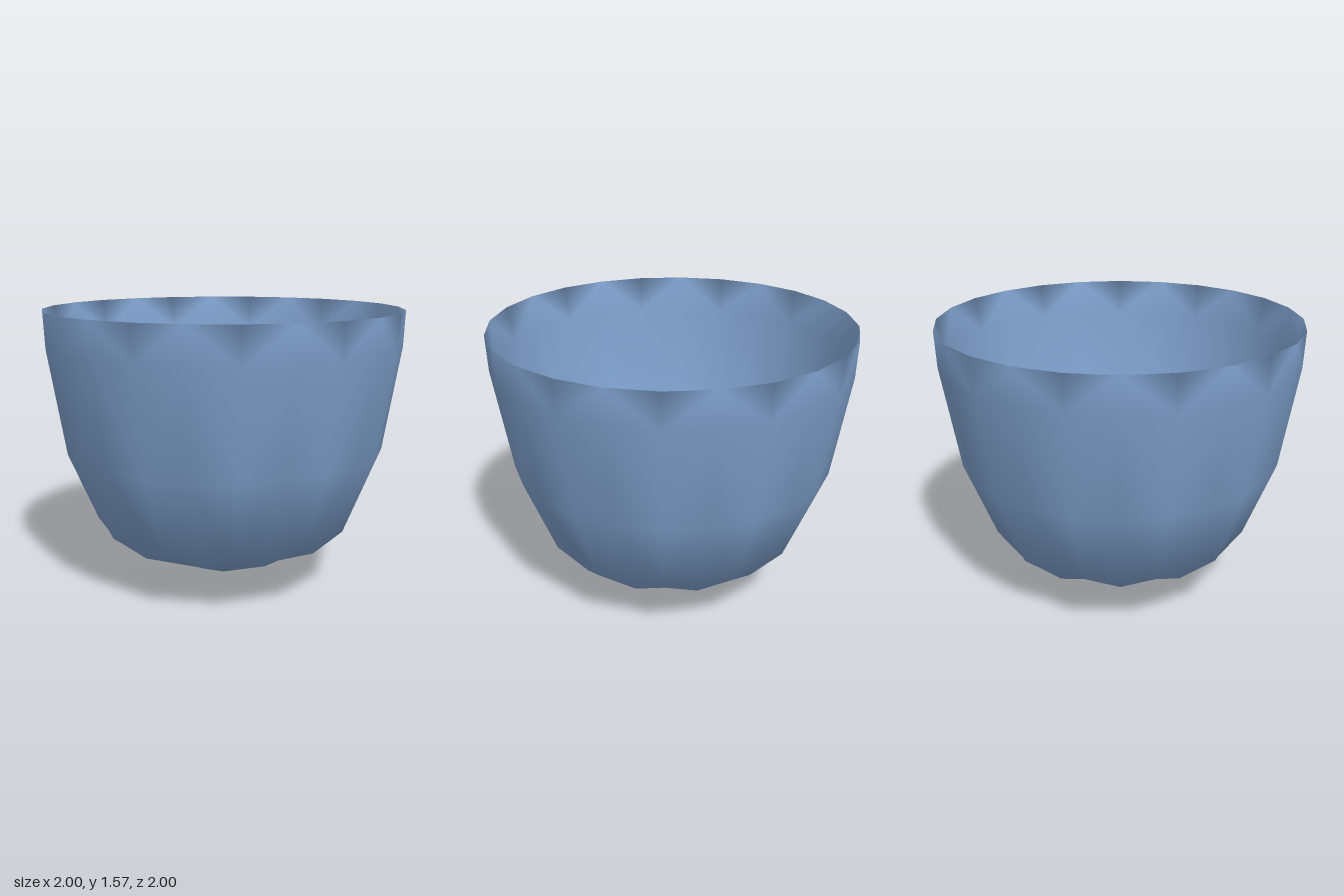
import * as THREE from 'three';

const SIDES = 24;

// Each ring is [radius, y] on even spokes and, where scalloped, [radius, y] on odd spokes
const OUTER = [
  [[0.73, 0.36], [0.64, 0.27]],
  [[0.90, 0.80]],
  [[0.992, 1.37]],
];
const RIM = [[1.0, 1.57]];
const INNER = [
  [[0.963, 1.37]],
  [[0.87, 0.81]],
  [[0.70, 0.38], [0.615, 0.295]],
];

function shellGeometry(bottomY, rings, topY) {
  const pos = [0, bottomY, 0];
  const index = [];
  for (const [even, odd = even] of rings) {
    for (let i = 0; i < SIDES; i++) {
      const [r, y] = i % 2 ? odd : even;
      const a = (i / SIDES) * Math.PI * 2;
      pos.push(r * Math.cos(a), y, r * Math.sin(a));
    }
  }
  pos.push(0, topY, 0);
  const last = pos.length / 3 - 1;
  const at = (ring, i) => 1 + ring * SIDES + (i % SIDES);

  for (let i = 0; i < SIDES; i++) {
    // underside fan and inner floor fan
    index.push(0, at(0, i), at(0, i + 1));
    index.push(last, at(rings.length - 1, i + 1), at(rings.length - 1, i));
    // walls, up the outside, over the thin rim and down the inside
    for (let k = 0; k < rings.length - 1; k++) {
      const a = at(k, i), b = at(k, i + 1), c = at(k + 1, i + 1), d = at(k + 1, i);
      if (i % 2) index.push(a, d, b, b, d, c);
      else index.push(a, c, b, a, d, c);
    }
  }
  const geo = new THREE.BufferGeometry();
  geo.setAttribute('position', new THREE.Float32BufferAttribute(pos, 3));
  geo.setIndex(index);
  geo.computeVertexNormals();
  return geo;
}

export function createModel() {
  const group = new THREE.Group();
  group.name = 'cup';

  const blue = new THREE.MeshStandardMaterial({ color: 0x7d9ec9 });
  blue.name = 'softBlue';

  // thin walled cup with a scalloped, pointed base
  const shell = new THREE.Mesh(shellGeometry(0, [...OUTER, RIM, ...INNER], 0.03), blue);
  shell.name = 'cupShell';
  group.add(shell);
  return group;
}
